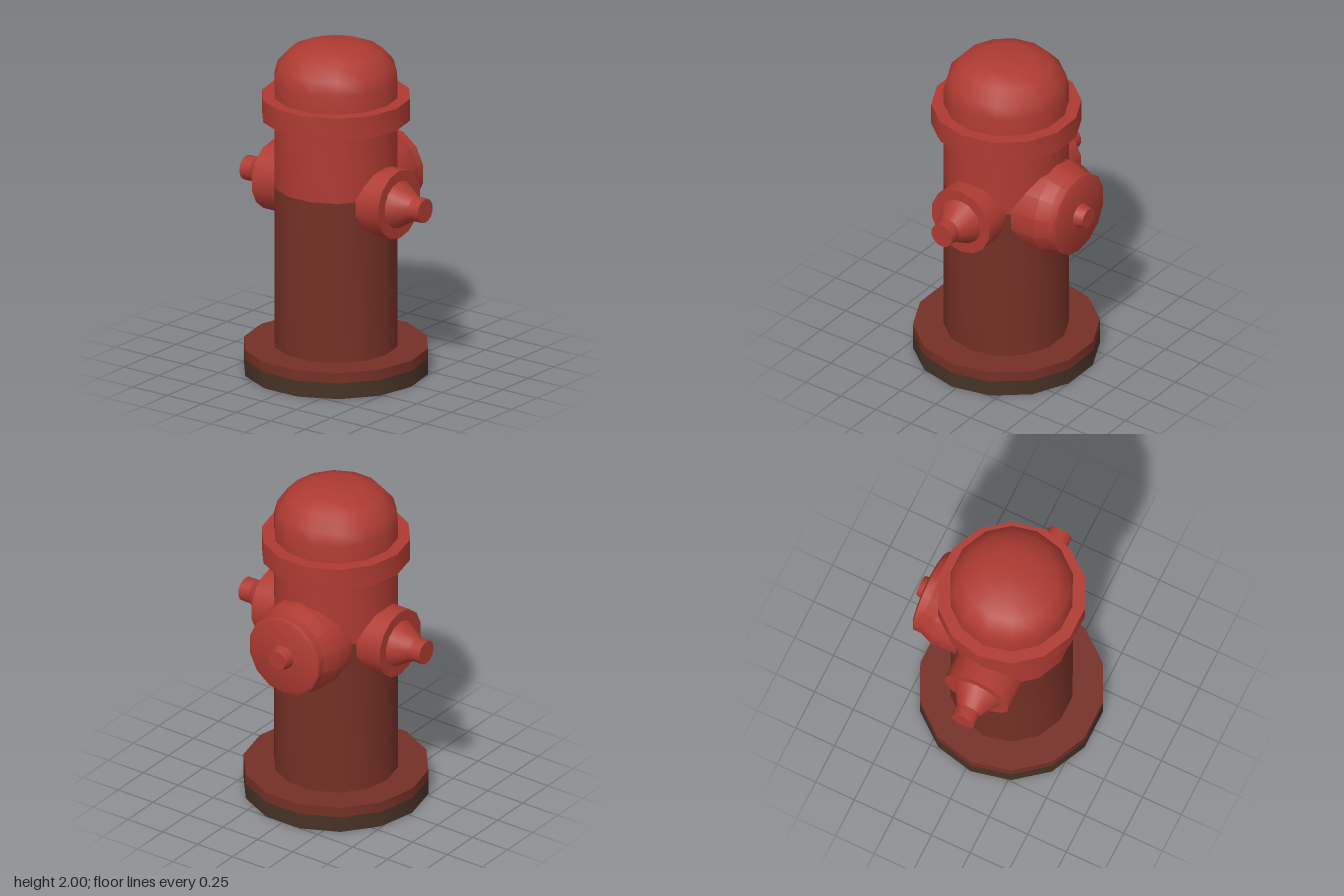
import * as THREE from 'three';
import { toCreasedNormals } from 'three/addons/utils/BufferGeometryUtils.js';

const SIDES = 14;
const AXIS_X = -0.03;
const NOZZLE_Y = 1.105;

function material(name, color) {
  const m = new THREE.MeshStandardMaterial({ color });
  m.name = name;
  return m;
}

// Turned part from [radius, height] pairs, listed from bottom to top
function turned(name, mat, profile, crease = 0.52) {
  const points = profile.map(([r, h]) => new THREE.Vector2(r, h));
  const geometry = toCreasedNormals(new THREE.LatheGeometry(points, SIDES), crease);
  const mesh = new THREE.Mesh(geometry, mat);
  mesh.name = name;
  return mesh;
}

export function createModel() {
  const red = material('red paint', 0xae3b32);
  const brown = material('rusty brown paint', 0x743026);
  const dark = material('dark grime', 0x463226);

  const model = new THREE.Group();
  model.name = 'fireHydrant';

  // Upright body, all turned about one axis
  const body = new THREE.Group();
  body.name = 'body';
  body.position.x = AXIS_X;
  model.add(body);
  body.add(
    turned('baseBottom', dark, [[0, 0], [0.545, 0], [0.545, 0.097]]),
    turned('baseTop', brown, [[0.545, 0.097], [0.545, 0.16], [0.3, 0.16]]),
    turned('lowerBarrel', brown, [[0.365, 0.16], [0.365, 1.14]]),
    turned('upperBarrel', red, [[0.365, 1.14], [0.365, 1.6]]),
    turned('collar', red, [[0.34, 1.555], [0.438, 1.555], [0.438, 1.69], [0.34, 1.69]]),
    turned('dome', red, [
      [0.365, 1.66], [0.365, 1.8], [0.346, 1.875], [0.275, 1.955], [0.165, 1.998], [0, 2],
    ], 0.8),
  );

  // Small nozzles at front and back: stepped flange, cone and stub
  for (const side of [1, -1]) {
    const nozzle = turned(side > 0 ? 'frontNozzle' : 'backNozzle', red, [
      [0.208, 0.25], [0.208, 0.46], [0.143, 0.46], [0.073, 0.577], [0.073, 0.648], [0, 0.648],
    ]);
    nozzle.rotation.x = side * Math.PI / 2;
    nozzle.position.set(AXIS_X, NOZZLE_Y, 0);
    model.add(nozzle);
  }

  // Large outlet on the left, with its cap and nut
  const outlet = new THREE.Group();
  outlet.name = 'largeOutlet';
  outlet.add(
    turned('outletCap', red, [
      [0.281, 0.15], [0.281, 0.36], [0.252, 0.435], [0.252, 0.486], [0.23, 0.498], [0, 0.498],
    ]),
    turned('outletNut', red, [[0.077, 0.49], [0.06, 0.557], [0, 0.557]]),
  );
  for (const part of outlet.children) part.geometry.rotateY(Math.PI / 2);
  outlet.rotation.z = -Math.PI / 2;
  outlet.position.y = NOZZLE_Y;
  model.add(outlet);

  return model;
}
